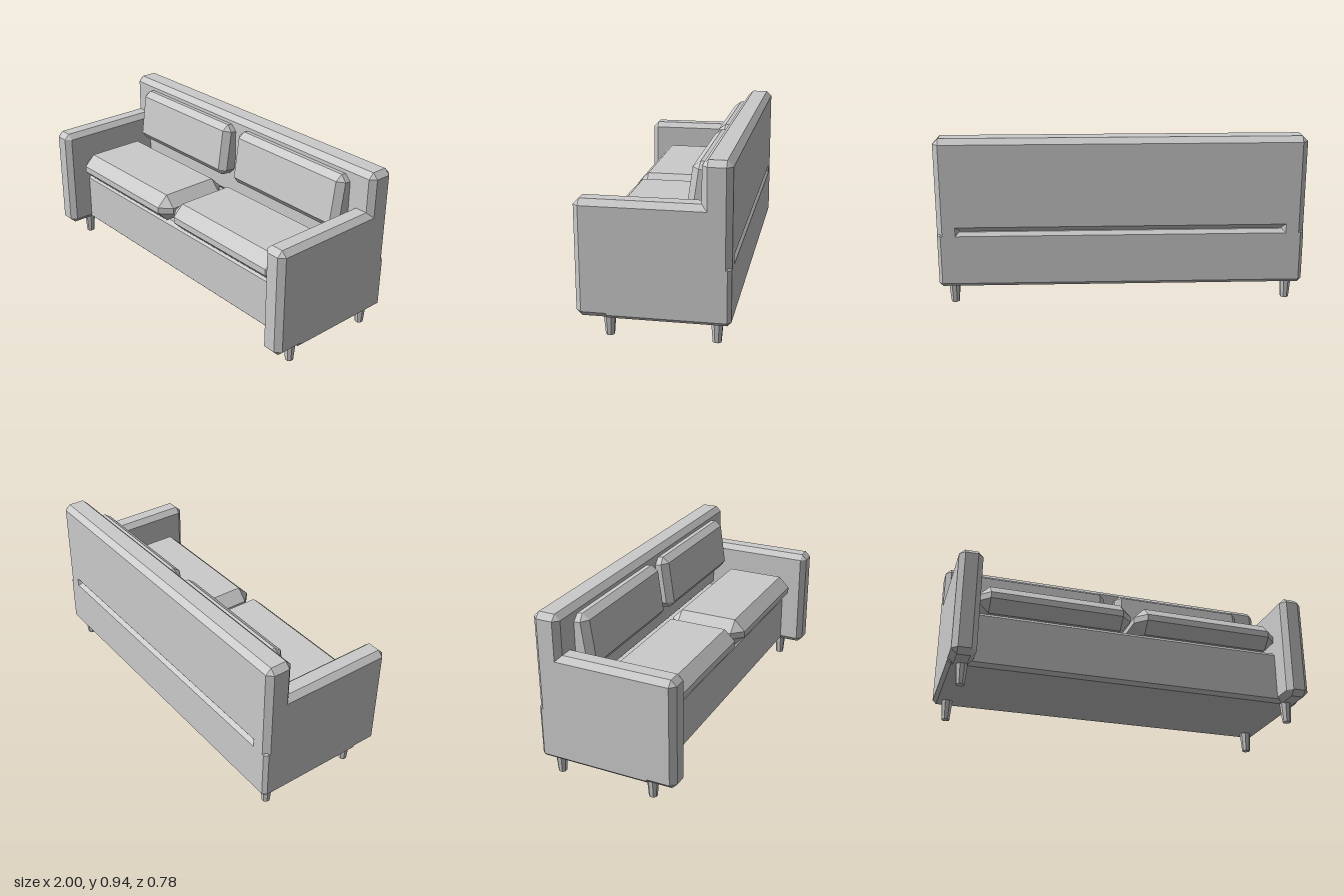
import * as THREE from 'three';
import { ConvexGeometry } from 'three/addons/geometries/ConvexGeometry.js';

const material = new THREE.MeshStandardMaterial({ color: 0xcccccc, flatShading: true });

// Box with every edge cut by a flat bevel: each corner becomes three points
function bevelBox(w, h, d, bevel) {
  const half = [w / 2, h / 2, d / 2];
  const points = [];
  for (const sx of [-1, 1]) for (const sy of [-1, 1]) for (const sz of [-1, 1]) {
    const sign = [sx, sy, sz];
    for (let face = 0; face < 3; face++) {
      points.push(new THREE.Vector3(
        ...half.map((v, i) => sign[i] * (i === face ? v : v - bevel))));
    }
  }
  return new ConvexGeometry(points);
}

// Bevelled block given by its extents along each axis
function block(name, [x0, x1], [y0, y1], [z0, z1], bevel) {
  const mesh = new THREE.Mesh(bevelBox(x1 - x0, y1 - y0, z1 - z0, bevel), material);
  mesh.position.set((x0 + x1) / 2, (y0 + y1) / 2, (z0 + z1) / 2);
  mesh.name = name;
  return mesh;
}

export function createModel() {
  const sofa = new THREE.Group();
  sofa.name = 'sofa';

  // Base and backrest, leaving a groove between their bevels
  sofa.add(block('base', [-1, 1], [0.11, 0.42], [-0.39, 0.25], 0.02));
  sofa.add(block('backrest', [-1, 1], [0.42, 0.935], [-0.39, -0.24], 0.03));

  const backCushionGeometry = bevelBox(0.815, 0.307, 0.13, 0.035);
  const legGeometry = new THREE.CylinderGeometry(0.033, 0.023, 0.12, 8);
  legGeometry.rotateY(Math.PI / 8);

  for (const [side, s] of [['left', 1], ['right', -1]]) {
    // Armrest
    const arm = block(side + 'Arm', [-0.065, 0.065], [0.11, 0.718], [-0.39, 0.39], 0.03);
    arm.position.x = s * 0.935;
    sofa.add(arm);

    // Thick seat cushion
    const seat = block(side + 'SeatCushion', [-0.43, 0.43], [0.42, 0.58], [-0.15, 0.31], 0.062);
    seat.position.x = s * 0.44;
    sofa.add(seat);

    // Back cushion leaning into the backrest
    const cushion = new THREE.Mesh(backCushionGeometry, material);
    cushion.name = side + 'BackCushion';
    cushion.position.set(s * 0.442, 0.733, -0.218);
    cushion.rotation.x = -0.14;
    sofa.add(cushion);

    // Tapered legs
    for (const [end, z] of [['Front', 0.23], ['Back', -0.314]]) {
      const leg = new THREE.Mesh(legGeometry, material);
      leg.name = side + end + 'Leg';
      leg.position.set(s * 0.925, 0.06, z);
      sofa.add(leg);
    }
  }
  return sofa;
}
